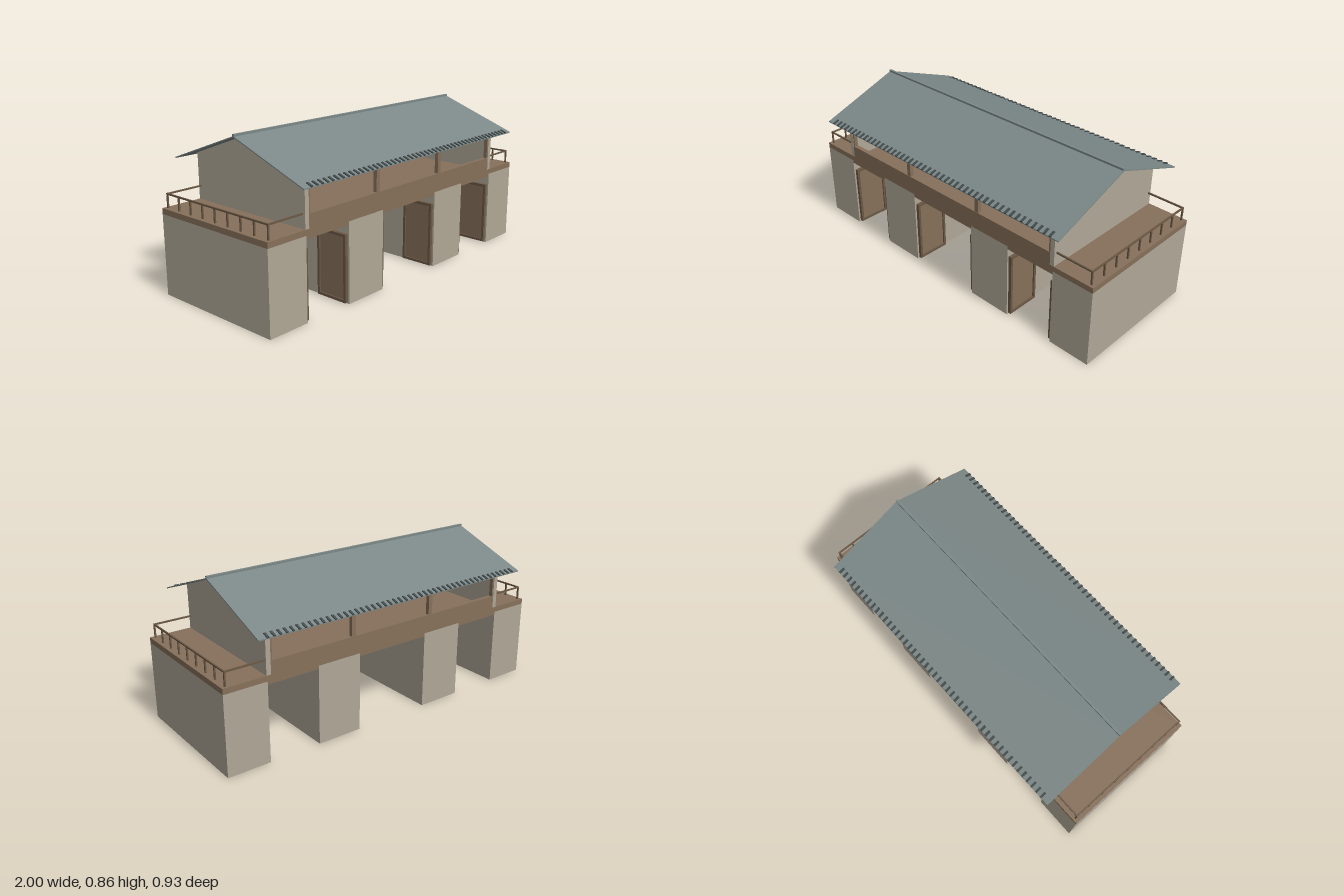
import * as THREE from 'three';

const mat = (name, color, side = THREE.FrontSide) => {
  const m = new THREE.MeshStandardMaterial({ color, side });
  m.name = name;
  return m;
};

export function createModel() {
  const concrete = mat('concrete', 0xb0a897);
  const wood = mat('wood', 0x86705a);
  const darkWood = mat('dark wood', 0x6b5844);
  const roofMat = mat('roof metal', 0x7b8887, THREE.DoubleSide);
  const eaveMat = mat('dark metal', 0x444c4d);

  const model = new THREE.Group();
  model.name = 'gatehouse';

  // Box given by its extents
  const box = (name, m, x0, x1, y0, y1, z0, z1, parent = model) => {
    const mesh = new THREE.Mesh(new THREE.BoxGeometry(x1 - x0, y1 - y0, z1 - z0), m);
    mesh.position.set((x0 + x1) / 2, (y0 + y1) / 2, (z0 + z1) / 2);
    mesh.name = name;
    parent.add(mesh);
    return mesh;
  };
  // Profile in (z, y), extruded along x from x0 to x1
  const profile = (name, m, pts, x0, x1) => {
    const shape = new THREE.Shape(pts.map(([z, y]) => new THREE.Vector2(-z, y)));
    const geo = new THREE.ExtrudeGeometry(shape, { depth: x1 - x0, bevelEnabled: false });
    geo.rotateY(Math.PI / 2);
    geo.translate(x0, 0, 0);
    const mesh = new THREE.Mesh(geo, m);
    mesh.name = name;
    model.add(mesh);
  };

  const D = 0.385; // half depth

  // Piers
  const piers = [[-1, -0.765], [-0.475, -0.22], [0.22, 0.475], [0.765, 1]];
  piers.forEach(([a, b]) => box('pier', concrete, a, b, 0, 0.43, -D, D));

  // Deck, with soffits in the bays between piers
  box('deck', wood, -1, 1, 0.43, 0.46, -D, D);
  for (let i = 0; i < 3; i++) box('soffit', wood, piers[i][1], piers[i + 1][0], 0.413, 0.43, -D, D);

  // Framed gate panels on both sides of each bay, near the front
  const gate = (x, dir) => {
    const g = new THREE.Group();
    g.name = 'gate';
    const z0 = 0.185, z1 = 0.375, y0 = 0.006, y1 = 0.363, f = 0.014, t = 0.018;
    const part = (name, m, th, ya, yb, za, zb) =>
      box(name, m, Math.min(x, x + dir * th), Math.max(x, x + dir * th), ya, yb, za, zb, g);
    part('gatePanel', wood, 0.01, y0 + f, y1 - f, z0 + f, z1 - f);
    part('gateStile', darkWood, t, y0, y1, z0, z0 + f);
    part('gateStile', darkWood, t, y0, y1, z1 - f, z1);
    part('gateRail', darkWood, t, y0, y0 + f, z0 + f, z1 - f);
    part('gateRail', darkWood, t, y1 - f, y1, z0 + f, z1 - f);
    model.add(g);
  };
  for (let i = 0; i < 3; i++) {
    gate(piers[i][1], 1);
    gate(piers[i + 1][0], -1);
  }

  // Parapets, posts and head beams on the long sides
  for (const s of [-1, 1]) {
    const zs = (a, b) => [Math.min(s * a, s * b), Math.max(s * a, s * b)];
    box('parapet', wood, -0.745, 0.745, 0.46, 0.53, ...zs(0.36, D));
    box('headBeam', wood, -0.745, 0.745, 0.662, 0.695, ...zs(0.36, D - 0.002));
    for (const x of [-0.2575, 0.2575])
      box('post', wood, x - 0.012, x + 0.012, 0.53, 0.662, ...zs(0.362, D - 0.002));
    for (const x of [-0.74, 0.74])
      box('cornerPost', wood, x - 0.005, x + 0.005, 0.53, 0.662, ...zs(0.362, D - 0.002));
  }

  // Gable walls
  const gable = [[-D, 0.46], [-D, 0.704], [0, 0.845], [D, 0.704], [D, 0.46]].reverse();
  profile('gableWall', concrete, gable, 0.745, 0.77);
  profile('gableWall', concrete, gable, -0.77, -0.745);

  // Thin pitched roof and ridge cap
  const eZ = 0.462, eY = 0.676, th = 0.006;
  profile('roof', roofMat,
    [[eZ, eY], [0, 0.845], [-eZ, eY], [-eZ, eY + th], [0, 0.845 + th], [eZ, eY + th]], -0.85, 0.85);
  box('ridgeCap', roofMat, -0.85, 0.85, 0.849, 0.86, -0.007, 0.007);

  // Row of small ribs along each eave
  const pitch = Math.atan2(0.845 - eY, eZ);
  for (const s of [-1, 1]) {
    const eave = new THREE.Group();
    eave.name = 'eaveRibs';
    for (let i = 0; i < 48; i++) {
      const x = -0.8 + (1.6 * i) / 47;
      const rib = box('eaveRib', eaveMat, x - 0.006, x + 0.006, 0.685, 0.693, -0.017, 0.017, eave);
      rib.position.set(x, 0.6885, s * 0.447);
      rib.rotation.x = s * pitch;
    }
    model.add(eave);
  }

  // Railings round the two end balconies
  const r = 0.004, top = 0.536, rz = 0.367;
  for (const s of [-1, 1]) {
    const rail = new THREE.Group();
    rail.name = 'railing';
    const x = s * 0.977;
    box('endRail', darkWood, x - r, x + r, top - 2 * r, top, -rz - r, rz + r, rail);
    for (let i = 0; i < 9; i++) {
      const z = -rz + (2 * rz * i) / 8;
      box('railPost', darkWood, x - r, x + r, 0.46, top - 2 * r, z - r, z + r, rail);
    }
    for (const z of [-rz, rz])
      box('sideRail', darkWood, Math.min(x, s * 0.77), Math.max(x, s * 0.77), top - 2 * r, top, z - r, z + r, rail);
    model.add(rail);
  }

  return model;
}
